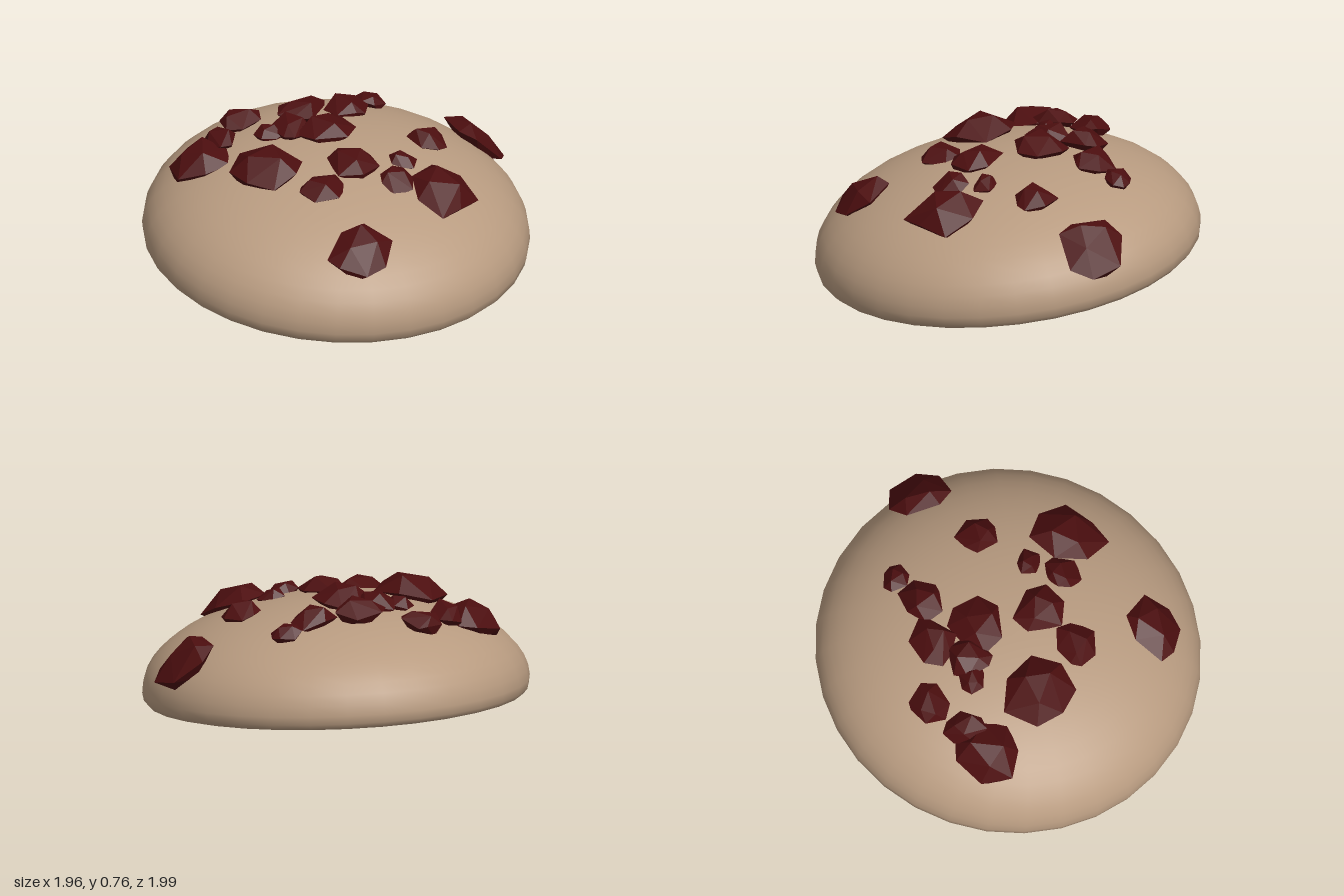
import * as THREE from 'three';
import { ConvexGeometry } from 'three/addons/geometries/ConvexGeometry.js';

const R = 0.99, RIM = 0.08, RISE = 0.47;   // dome radius, rim height, dome height above the rim
const BASE = 0.109, TX = -0.11, TZ = -0.05; // height of the base plane and its slopes

// small seeded random generator
function seeded(seed) {
  let s = seed;
  return () => {
    s = (s * 16807) % 2147483647;
    return s / 2147483647;
  };
}

// height of the tilted dome above the ground
function domeHeight(x, z) {
  const q = Math.min(1, (x * x + z * z) / (R * R));
  return BASE + TX * x + TZ * z + RIM + RISE * Math.sqrt(1 - q);
}

// faceted chunk filling a footprint and leaning along the dome surface
function chunkGeometry(cx, cz, w, d, half, lift, seed) {
  const rand = seeded(seed * 7919 + 13);
  for (let i = 0; i < 5; i++) rand();
  const pts = [];
  const ring = (n, radius, y, jitter) => {
    const start = rand() * Math.PI * 2;
    for (let i = 0; i < n; i++) {
      const a = start + ((i + (rand() - 0.5) * 0.6) / n) * Math.PI * 2;
      const r = radius * (0.82 + rand() * 0.3);
      pts.push(new THREE.Vector3(Math.cos(a) * r, y + (rand() - 0.5) * jitter, Math.sin(a) * r));
    }
  };
  ring(4, 0.62, -0.85, 0.3);
  ring(7, 1, -0.05, 0.5);
  ring(3, 0.5, 0.85, 0.3);

  // fit to the footprint, then shear with the local slope
  const box = new THREE.Box3().setFromPoints(pts);
  const size = box.getSize(new THREE.Vector3());
  const mid = box.getCenter(new THREE.Vector3());
  const e = 0.05;
  const sx = (domeHeight(cx + e, cz) - domeHeight(cx - e, cz)) / (2 * e);
  const sz = (domeHeight(cx, cz + e) - domeHeight(cx, cz - e)) / (2 * e);
  const y0 = domeHeight(cx, cz) + lift;
  for (const p of pts) {
    const dx = ((p.x - mid.x) / size.x) * w;
    const dz = ((p.z - mid.z) / size.z) * d;
    const dy = ((p.y - mid.y) / size.y) * 2 * half;
    p.set(cx + dx, y0 + dy + 0.8 * (sx * dx + sz * dz), cz + dz);
  }
  return new ConvexGeometry(pts);
}

export function createModel() {
  const model = new THREE.Group();
  model.name = 'toppedDome';

  const dough = new THREE.MeshStandardMaterial({ color: 0xb89b80 });
  dough.name = 'tan';
  const red = new THREE.MeshStandardMaterial({ color: 0x4c0e0f });
  red.name = 'dark red';

  // dome: flat base, tight rounded rim, elliptical top
  const profile = [[0, 0], [0.5, 0], [0.86, 0], [0.92, 0.003], [0.96, 0.013], [0.983, 0.038]]
    .map(([r, y]) => new THREE.Vector2(r, y));
  const steps = 14;
  for (let i = 0; i <= steps; i++) {
    const a = (i / steps) * Math.PI / 2;
    profile.push(new THREE.Vector2(i === steps ? 0 : R * Math.cos(a), RIM + RISE * Math.sin(a)));
  }
  const dome = new THREE.Mesh(new THREE.LatheGeometry(profile, 32, Math.PI / 32), dough);
  dome.name = 'dome';
  dome.position.y = BASE;
  dome.quaternion.setFromUnitVectors(
    new THREE.Vector3(0, 1, 0), new THREE.Vector3(-TX, 1, -TZ).normalize());
  model.add(dome);

  // chunks: centre x, centre z, width, depth, half thickness, lift
  const chunks = [
    [0.21, -0.86, 0.34, 0.28, 0.08, 0.02],
    [-0.235, -0.565, 0.15, 0.15, 0.045, 0.01],
    [-0.225, -0.38, 0.21, 0.24, 0.06, 0.015],
    [0.24, -0.45, 0.2, 0.2, 0.06, 0.02],
    [-0.355, -0.175, 0.23, 0.27, 0.065, 0.02],
    [-0.115, -0.085, 0.27, 0.29, 0.07, 0.015],
    [0.315, -0.16, 0.15, 0.14, 0.045, 0.01],
    [0.575, -0.155, 0.31, 0.35, 0.08, 0.03],
    [0.41, -0.005, 0.18, 0.19, 0.055, 0.015],
    [-0.585, 0.05, 0.19, 0.22, 0.055, 0.01],
    [-0.29, 0.01, 0.22, 0.22, 0.06, 0.015],
    [-0.345, 0.11, 0.15, 0.14, 0.045, 0.01],
    [0.16, 0.08, 0.26, 0.26, 0.065, 0.02],
    [0.19, 0.315, 0.22, 0.23, 0.06, 0.015],
    [-0.55, 0.26, 0.2, 0.18, 0.06, 0.02],
    [-0.53, 0.435, 0.32, 0.33, 0.08, 0.01],
    [-0.155, 0.385, 0.39, 0.33, 0.085, 0.025],
    [0.575, 0.495, 0.27, 0.31, 0.075, 0.025],
  ];
  const topping = new THREE.Group();
  topping.name = 'topping';
  chunks.forEach((c, i) => {
    const chunk = new THREE.Mesh(chunkGeometry(...c, i + 1), red);
    chunk.name = 'chunk';
    topping.add(chunk);
  });
  model.add(topping);

  return model;
}
